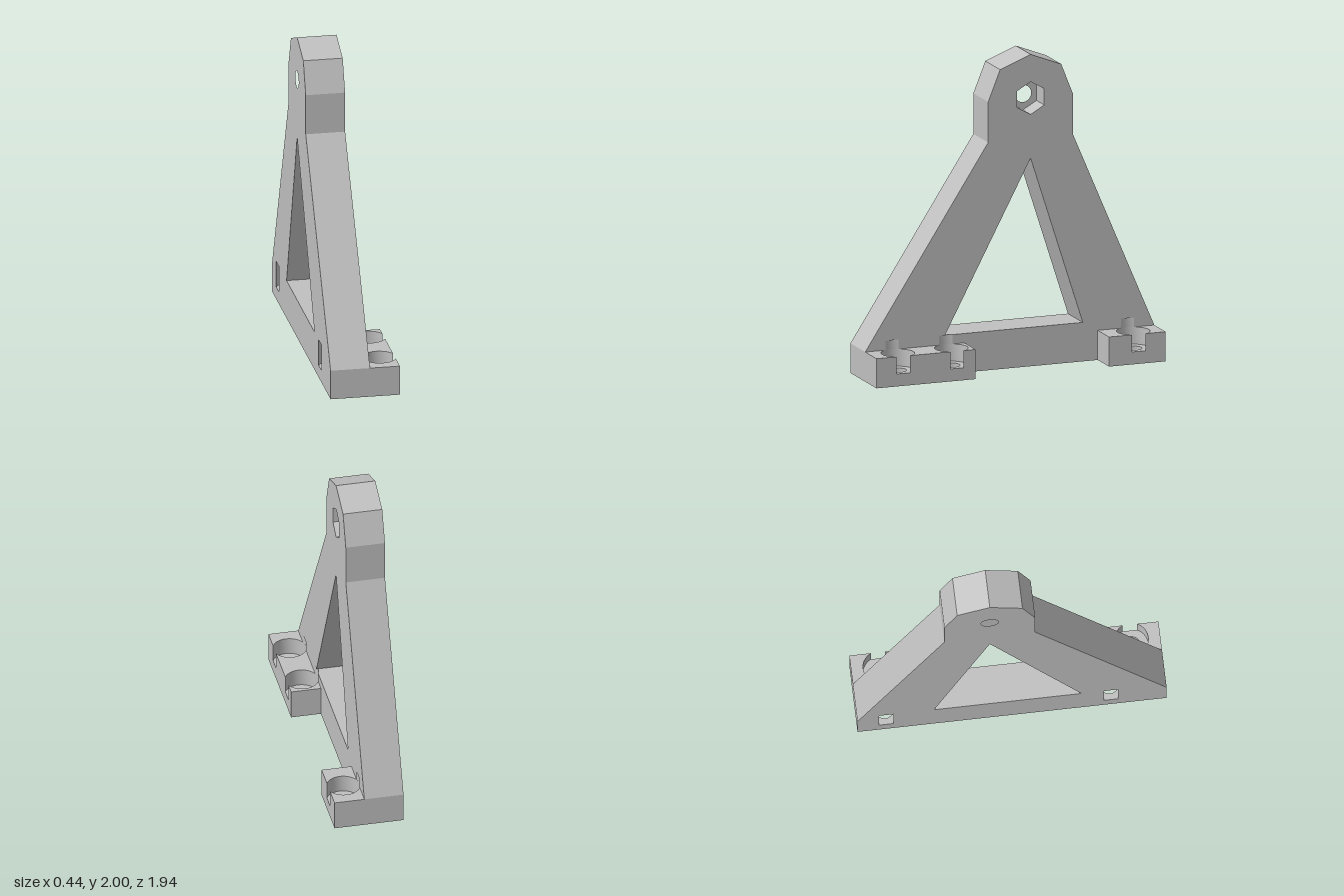
import * as THREE from 'three';
import { toCreasedNormals } from 'three/addons/utils/BufferGeometryUtils.js';

const BACK = -0.22, FACE = 0.03, FOOT = 0.22, END = 0.97;   // x of the plate and feet, z of the ends
const HOLE_R = 0.055, BORE_R = 0.105;
const FLOOR = 0.08, FOOT_TOP = 0.19, BORE_TOP = 0.25;
const BOLT_X = 0.125;
const FRONT_BOLTS = [0.79, 0.43], REAR_BOLT = -0.79;        // bolts through the feet
const PLATE_BOLTS = [-0.79, 0.62];                          // bolts inside the plate
const OPENING = Math.acos((FOOT - BOLT_X) / BORE_R);        // half angle where a bore breaks a side

const steel = new THREE.MeshStandardMaterial({ color: 0xc0c0c0 });
steel.name = 'light grey';

// Part of a bore wall, as points in plan
function arc(x, z, from, to, steps = 24) {
  return Array.from({ length: steps + 1 }, (_, i) => {
    const a = from + (to - from) * i / steps;
    return [x + BORE_R * Math.cos(a), z + BORE_R * Math.sin(a)];
  });
}

const footBore = (z) => arc(BOLT_X, z, OPENING, 2 * Math.PI - OPENING);
const faceGroove = (z) => arc(BOLT_X, z, Math.PI - OPENING, Math.PI + OPENING, 6);
const plateBores = PLATE_BOLTS.flatMap((z) =>
  arc(-BOLT_X, z, Math.PI + OPENING, 3 * Math.PI - OPENING));

// The second coordinate is negated so the extrusion can be laid flat or turned sideways
const toShape = (pts, mapPoint) => new THREE.Shape(pts.map((p) => new THREE.Vector2(...mapPoint(p))));

function roundHole(x, y) {
  return new THREE.Path().absarc(x, y, HOLE_R, 0, Math.PI * 2, true);
}

function mesh(name, geometry) {
  const m = new THREE.Mesh(toCreasedNormals(geometry, 0.35), steel);
  m.name = name;
  return m;
}

// Horizontal slab from an (x, z) plan
function slab(plan, y0, y1, holes = []) {
  const shape = toShape(plan, ([x, z]) => [x, -z]);
  shape.holes = holes.map(([x, z]) => roundHole(x, -z));
  const g = new THREE.ExtrudeGeometry(shape, { depth: y1 - y0, bevelEnabled: false, curveSegments: 32 });
  return g.rotateX(-Math.PI / 2).translate(0, y0, 0);
}

// Upright layer from a (z, y) profile
function layer(profile, x0, x1, hole) {
  const shape = toShape(profile, ([z, y]) => [-z, y]);
  shape.holes = [hole];
  const g = new THREE.ExtrudeGeometry(shape, { depth: x1 - x0, bevelEnabled: false, curveSegments: 32 });
  return g.rotateY(Math.PI / 2).translate(x0, 0, 0);
}

export function createModel() {
  const group = new THREE.Group();
  group.name = 'bearingBracket';

  // Base floor with through holes
  const plan = [[BACK, END], [FOOT, END], [FOOT, 0.305], [FACE, 0.305],
    [FACE, -0.59], [FOOT, -0.59], [FOOT, -END], [BACK, -END]];
  const bolts = [...FRONT_BOLTS, REAR_BOLT].map((z) => [BOLT_X, z])
    .concat(PLATE_BOLTS.map((z) => [-BOLT_X, z]));
  group.add(mesh('baseFloor', slab(plan, 0, FLOOR, bolts)));

  // Feet and plate around the counterbores, which break through the sides
  const borePlan = [...plan.slice(0, 2), ...FRONT_BOLTS.flatMap(footBore), ...plan.slice(2, 6),
    ...footBore(REAR_BOLT), ...plan.slice(6), ...plateBores];
  group.add(mesh('counterboredFeet', slab(borePlan, FLOOR, FOOT_TOP)));

  // Sill of the plate, its ends leaning in with the legs
  const sillPlan = [[BACK, END], [FACE, END], ...[...FRONT_BOLTS, REAR_BOLT].flatMap(faceGroove),
    [FACE, -END], [BACK, -END], ...plateBores];
  const sill = slab(sillPlan, FOOT_TOP, BORE_TOP);
  const pos = sill.attributes.position;
  for (let i = 0; i < pos.count; i++) {
    const z = pos.getZ(i);
    if (pos.getY(i) > BORE_TOP - 0.001 && Math.abs(z) > END - 0.001) pos.setZ(i, z > 0 ? 0.931 : -0.944);
  }
  group.add(mesh('sill', sill));

  // Two legs and the head, in two layers: hexagonal nut pocket, then round bolt hole
  const frame = [[0.931, BORE_TOP], [0.145, 1.46], [0.145, 1.72], [0.065, 1.92], [-0.14, 2],
    [-0.345, 1.92], [-0.425, 1.72], [-0.425, 1.46], [-0.944, BORE_TOP],
    [-0.49, BORE_TOP], [-0.14, 1.335], [0.435, BORE_TOP]];
  const headZ = -0.14, headY = 1.72, pocketX = -0.1;
  const hexagon = new THREE.Path(Array.from({ length: 6 }, (_, i) => {
    const a = Math.PI / 2 + i * Math.PI / 3;
    return new THREE.Vector2(-headZ + 0.105 * Math.cos(a), headY + 0.105 * Math.sin(a));
  }));
  group.add(mesh('frameWithNutPocket', layer(frame, pocketX, FACE, hexagon)));
  group.add(mesh('frameWithBoltHole', layer(frame, BACK, pocketX, roundHole(-headZ, headY))));

  return group;
}
